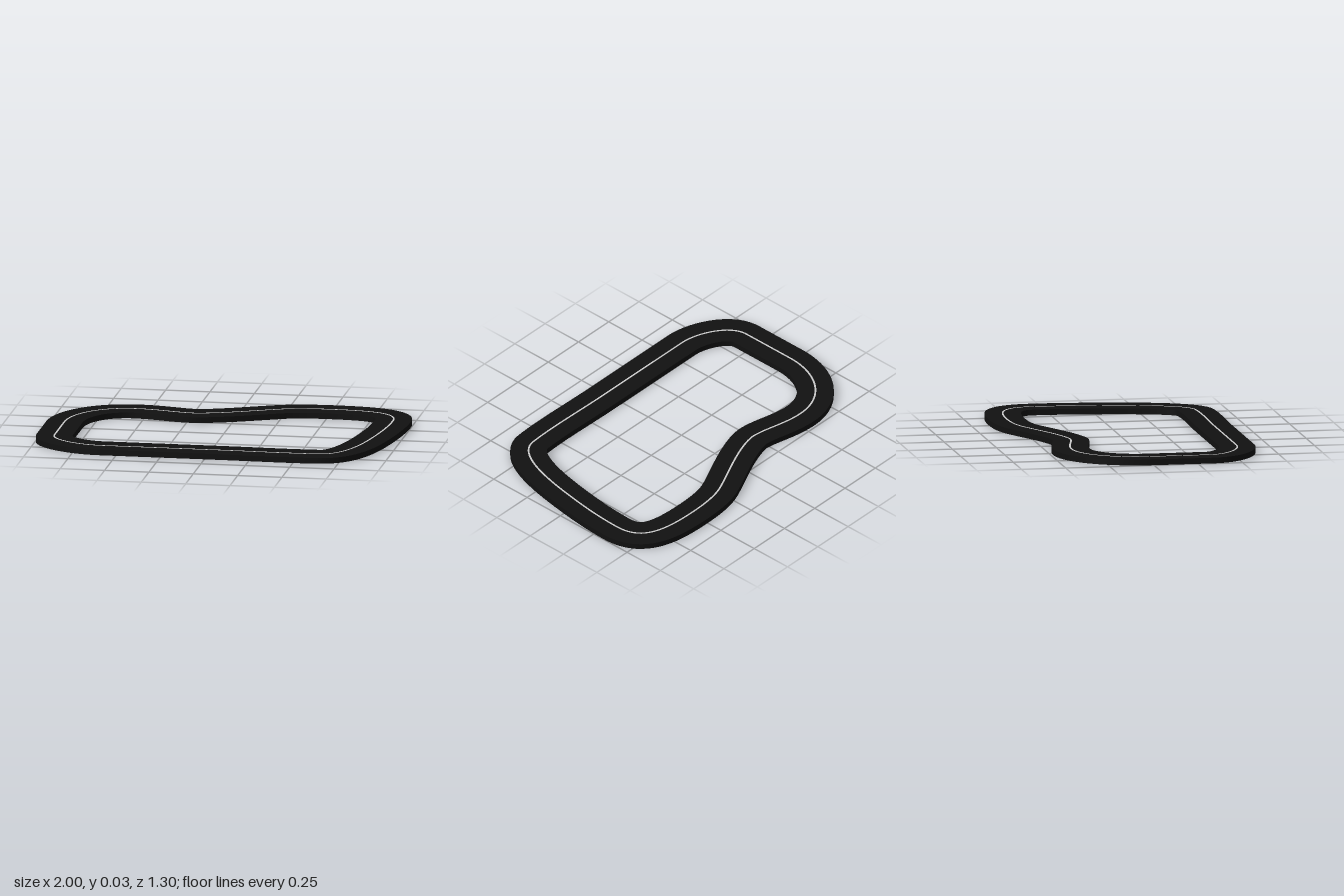
import * as THREE from 'three';

const STEPS = 240;

// Centreline of the circuit, drawn in plan (x, z)
function centreline() {
  const p = new THREE.Path();
  p.moveTo(-0.898, 0);
  p.lineTo(-0.898, 0.33);
  p.bezierCurveTo(-0.898, 0.45, -0.72, 0.54, -0.6, 0.54);
  p.lineTo(0.1, 0.54);
  p.bezierCurveTo(0.3, 0.542, 0.47, 0.552, 0.63, 0.54);
  p.bezierCurveTo(0.79, 0.53, 0.84, 0.2, 0.87, 0);
  p.bezierCurveTo(0.885, -0.1, 0.897, -0.22, 0.897, -0.33);
  p.bezierCurveTo(0.897, -0.51, 0.76, -0.55, 0.51, -0.55);
  p.bezierCurveTo(0.4, -0.55, 0.31, -0.54, 0.24, -0.51);
  p.bezierCurveTo(0.12, -0.46, -0.08, -0.345, -0.22, -0.33);
  p.bezierCurveTo(-0.32, -0.33, -0.43, -0.385, -0.56, -0.385);
  p.bezierCurveTo(-0.76, -0.385, -0.898, -0.21, -0.898, 0);
  return p.getSpacedPoints(STEPS).slice(0, STEPS);
}

// Sweep a rectangle round the closed line; corners are doubled to stay sharp
function sweep(points, halfWidth, y0, y1) {
  const section = [[-halfWidth, y1], [halfWidth, y1], [halfWidth, y0], [-halfWidth, y0]];
  const n = points.length, pos = [], index = [];
  for (let f = 0; f < 4; f++) {
    const base = f * n * 2;
    for (let i = 0; i < n; i++) {
      const t = points[(i + 1) % n].clone().sub(points[(i + n - 1) % n]).normalize();
      for (const [u, y] of [section[f], section[(f + 1) % 4]]) {
        pos.push(points[i].x - t.y * u, y, points[i].y + t.x * u);
      }
      const a = base + i * 2, c = base + ((i + 1) % n) * 2;
      index.push(a, a + 1, c, a + 1, c + 1, c);
    }
  }
  const g = new THREE.BufferGeometry();
  g.setAttribute('position', new THREE.Float32BufferAttribute(pos, 3));
  g.setIndex(index);
  g.computeVertexNormals();
  return g;
}

export function createModel() {
  const group = new THREE.Group();
  group.name = 'raceTrack';
  const line = centreline();
  const add = (name, geometry, color) => {
    const mesh = new THREE.Mesh(geometry, new THREE.MeshStandardMaterial({ color }));
    mesh.name = name;
    group.add(mesh);
  };
  // Road slab
  add('roadSurface', sweep(line, 0.102, 0.001, 0.033), 0x111111);
  // Thin centre stripe, standing just proud of the slab above and below
  add('centreStripe', sweep(line, 0.005, 0, 0.034), 0xcccccc);
  return group;
}
